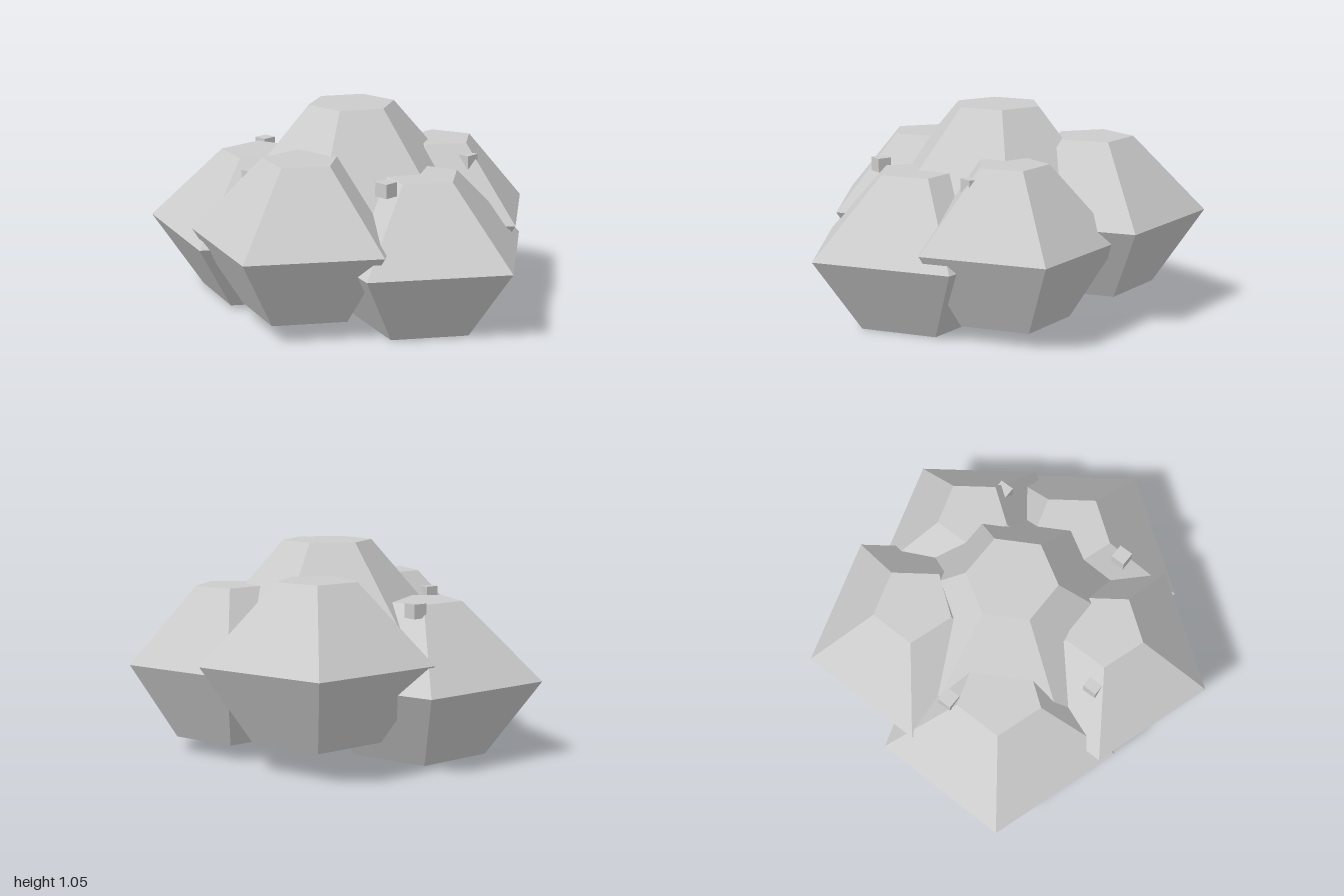
import * as THREE from 'three';

const stone = new THREE.MeshStandardMaterial({ color: 0xcccccc, flatShading: true });
stone.name = 'stone grey';

// Faceted boulder: flat base, wide waist, flat top
function boulder(name, sides, radius, halfHeight, x, y, z) {
  const profile = [
    [0, -halfHeight], [radius * 0.555, -halfHeight],
    [radius, 0],
    [radius * 0.35, halfHeight], [0, halfHeight],
  ].map(([r, h]) => new THREE.Vector2(r, h));
  const mesh = new THREE.Mesh(new THREE.LatheGeometry(profile, sides, Math.PI / 2), stone);
  mesh.name = name;
  mesh.position.set(x, y, z);
  return mesh;
}

export function createModel() {
  const group = new THREE.Group();
  group.name = 'rockCluster';
  const cx = -0.085, cz = -0.04;

  // Tall six-sided boulder in the middle
  group.add(boulder('centreBoulder', 6, 0.643, 0.485, cx, 0.565, cz));

  // Ring of five-sided boulders: radius, x, waist height, z
  const ring = [
    [0.594, 0.396, 0.38, -0.04],
    [0.561, 0.044, 0.48, 0.43],
    [0.612, -0.505, 0.392, 0.21],
    [0.57, -0.439, 0.52, -0.375],
    [0.521, 0.139, 0.455, -0.47],
  ];
  ring.forEach(([r, x, y, z], i) => {
    group.add(boulder('outerBoulder' + (i + 1), 5, r, 0.378, x, y, z));
  });

  // Small square pebbles set between the boulders
  for (let i = 0; i < 5; i++) {
    const a = THREE.MathUtils.degToRad(29 + 72 * i);
    const pebble = new THREE.Mesh(new THREE.BoxGeometry(i === 1 ? 0.058 : 0.073, 0.07, 0.074), stone);
    pebble.name = 'pebble' + (i + 1);
    pebble.position.set(cx + 0.596 * Math.cos(a), 0.748, cz + 0.596 * Math.sin(a));
    group.add(pebble);
  }
  return group;
}
